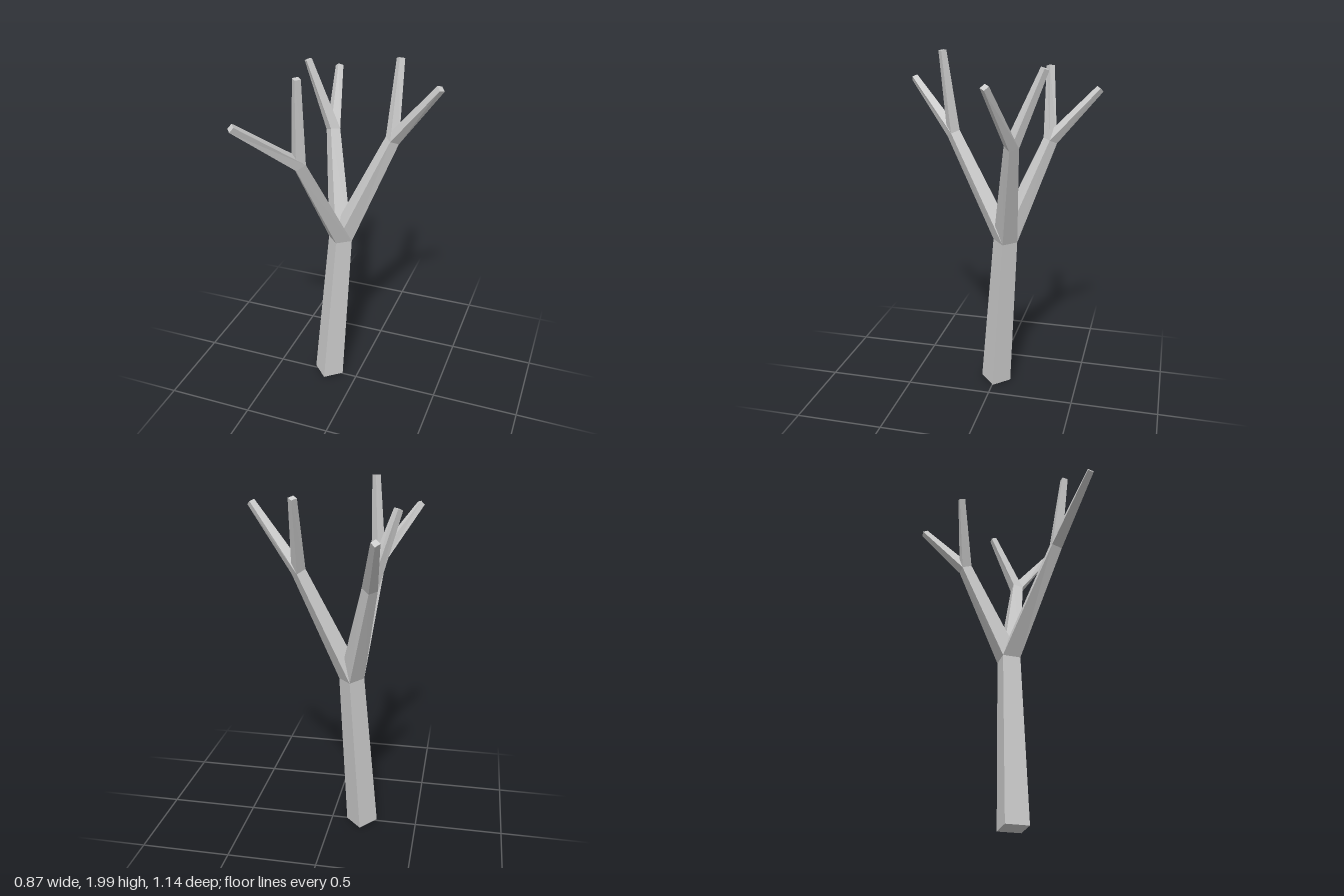
import * as THREE from 'three';

const V = (x, y, z) => new THREE.Vector3(x, y, z);

// Four corners of a diamond cross-section, square to the given direction
function ring(center, dir, radius) {
  const x = V(1, 0, 0).addScaledVector(dir, -dir.x).normalize();
  const z = x.clone().cross(dir);
  return [x, z, x.clone().negate(), z.clone().negate()]
    .map((axis) => center.clone().addScaledVector(axis, radius));
}

// Tapered four-sided limb between two rings
function limbGeometry(low, high, capLow, capHigh) {
  const points = [];
  const quad = (a, b, c, d) => points.push(a, b, c, a, c, d);
  for (let i = 0; i < 4; i++) {
    const j = (i + 1) % 4;
    quad(low[i], high[i], high[j], low[j]);
  }
  if (capLow) quad(...low);
  if (capHigh) quad(high[0], high[3], high[2], high[1]);
  const geometry = new THREE.BufferGeometry().setFromPoints(points);
  geometry.computeVertexNormals();
  return geometry;
}

export function createModel() {
  const group = new THREE.Group();
  const bark = new THREE.MeshStandardMaterial({ color: 0xcccccc });
  bark.name = 'grey bark';

  // Grows a limb from a shared ring and returns its end ring
  function grow(name, startRing, start, end, radius, capLow, capHigh) {
    const dir = end.clone().sub(start).normalize();
    const low = startRing || ring(start, dir, 0.09);
    const high = ring(end, dir, radius);
    const mesh = new THREE.Mesh(limbGeometry(low, high, capLow, capHigh), bark);
    mesh.name = name;
    group.add(mesh);
    return high;
  }

  // Leaning trunk
  const base = V(-0.18, 0.012, -0.005);
  const crotch = V(-0.12, 0.945, -0.07);
  const trunkTop = grow('trunk', null, base, crotch, 0.07, true, false);

  // Three boughs, each forking into two twigs
  const boughs = [
    { name: 'left', fork: V(0.15, 1.555, -0.157),
      tips: [V(0.416, 1.895, -0.082), V(0.136, 1.955, -0.32)] },
    { name: 'front', fork: V(-0.213, 1.535, 0.257),
      tips: [V(-0.417, 1.813, 0.55), V(-0.185, 1.998, 0.305)] },
    { name: 'back', fork: V(-0.242, 1.515, -0.295),
      tips: [V(-0.3, 1.802, -0.553), V(-0.37, 1.91, -0.265)] },
  ];
  for (const { name, fork, tips } of boughs) {
    const forkRing = grow(name + 'Bough', trunkTop, crotch, fork, 0.041, false, false);
    tips.forEach((tip, i) =>
      grow(name + 'Twig' + (i + 1), forkRing, fork, tip, 0.023, false, true));
  }
  return group;
}
